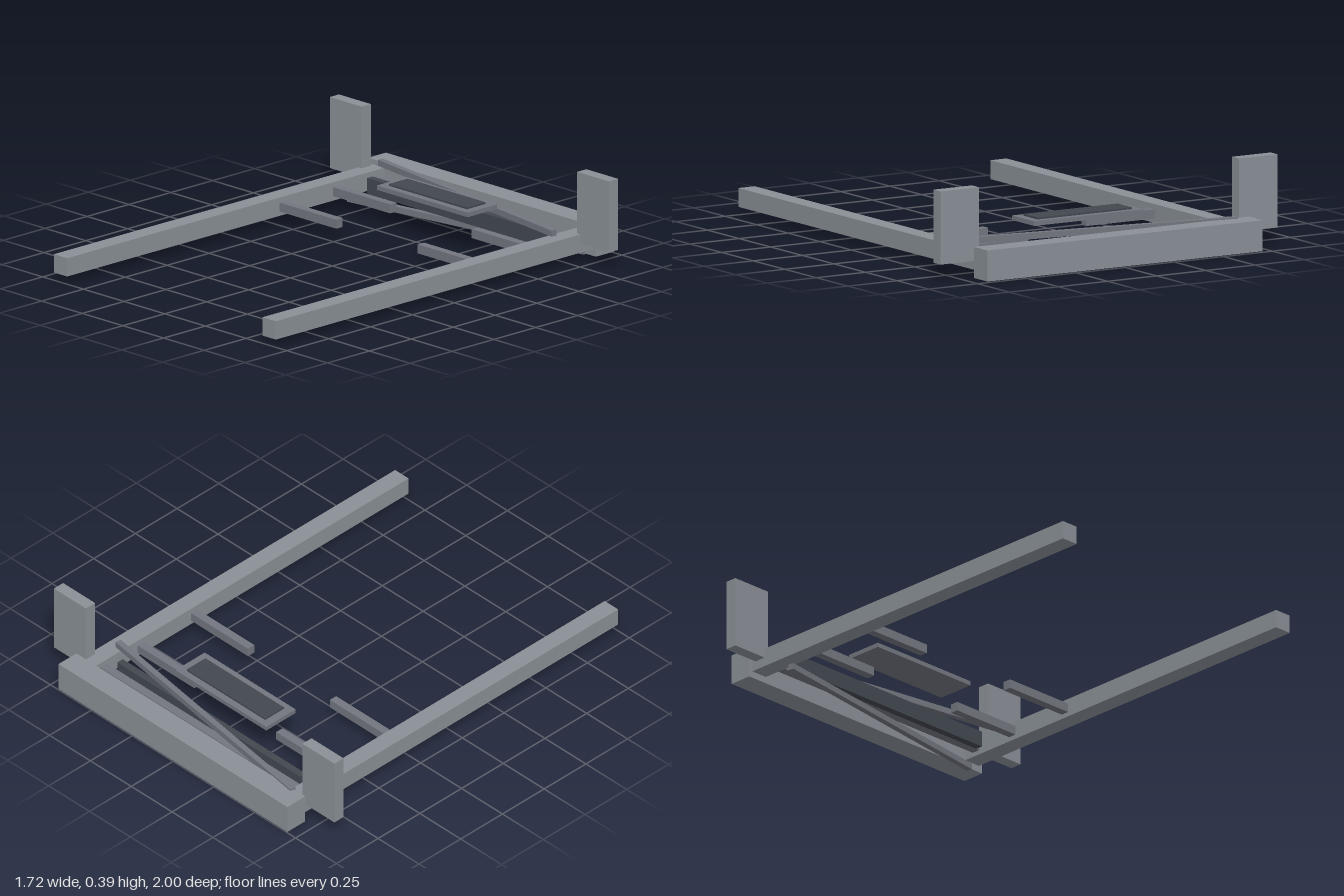
import * as THREE from 'three';

const steel = new THREE.MeshStandardMaterial({ color: 0x8a9097 });
const darkSteel = new THREE.MeshStandardMaterial({ color: 0x73767f });
const black = new THREE.MeshStandardMaterial({ color: 0x434850 });

export function createModel() {
  const model = new THREE.Group();

  // Box given by its extents along each axis
  function box(name, [x0, x1], [y0, y1], [z0, z1], material) {
    const mesh = new THREE.Mesh(new THREE.BoxGeometry(x1 - x0, y1 - y0, z1 - z0), material);
    mesh.position.set((x0 + x1) / 2, (y0 + y1) / 2, (z0 + z1) / 2);
    mesh.name = name;
    model.add(mesh);
    return mesh;
  }

  // Box with its mirrored twin on the other side
  function pair(name, [x0, x1], y, z, material) {
    box(name + 'Left', [x0, x1], y, z, material);
    box(name + 'Right', [-x1, -x0], y, z, material);
  }

  // Main frame: two long rails joined by a rear beam
  pair('sideRail', [0.6, 0.682], [0.04, 0.122], [-0.895, 1], steel);
  box('rearBeam', [-0.7, 0.7], [0.01, 0.145], [-1, -0.893], steel);

  // Upright plates at the rear corners
  pair('uprightPlate', [0.662, 0.858], [0.08, 0.398], [-0.873, -0.818], steel);

  // Cross member and the dark panel in front of it
  box('crossMember', [-0.6, 0.6], [0.06, 0.1], [-0.848, -0.808], darkSteel);
  box('darkPanel', [-0.56, 0.56], [0.045, 0.115], [-0.785, -0.752], black);

  // Short arms pointing inwards from the rails
  for (const [name, z] of [['rearArm', -0.607], ['frontArm', -0.286]]) {
    pair(name, [0.25, 0.6], [0.06, 0.1], [z - 0.019, z + 0.019], darkSteel);
  }

  // Crossed diagonal braces, one above and one below the rails
  const angle = Math.atan2(0.188, 1.26);
  for (const [name, y, side] of [['upperBrace', 0.139, -1], ['lowerBrace', 0.019, 1]]) {
    const brace = box(name, [-0.637, 0.637], [y - 0.0135, y + 0.0135], [-0.8185, -0.7915], darkSteel);
    brace.rotation.y = side * angle;
  }

  // Raised tray with a dark inset
  box('trayFrame', [-0.278, 0.278], [0.17, 0.19], [-0.713, -0.537], darkSteel);
  box('trayInset', [-0.24, 0.24], [0.185, 0.198], [-0.682, -0.57], black);

  return model;
}
